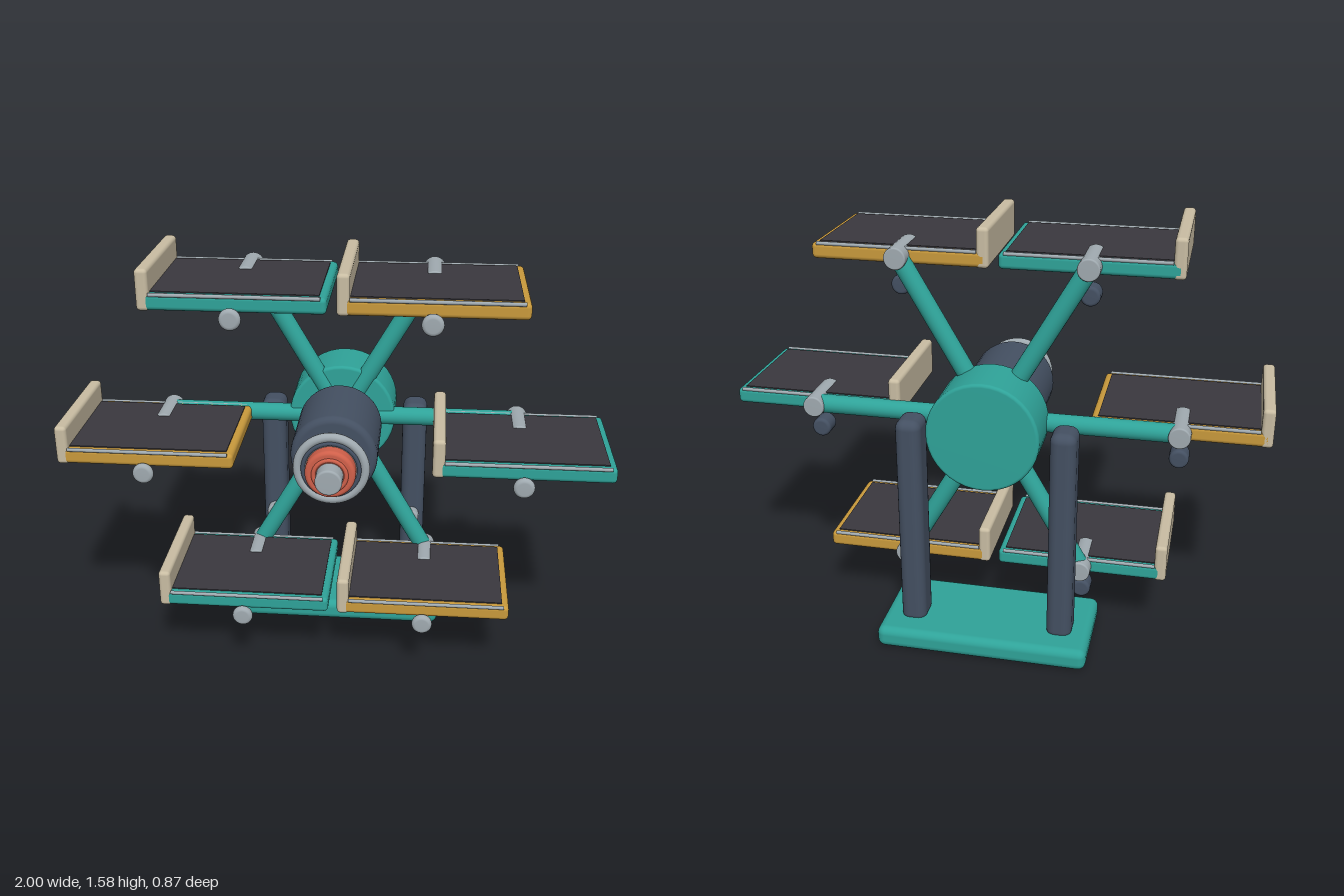
import * as THREE from 'three';
import { RoundedBoxGeometry } from 'three/addons/geometries/RoundedBoxGeometry.js';

const material = (name, color) => {
  const m = new THREE.MeshStandardMaterial({ color });
  m.name = name;
  return m;
};

export function createModel() {
  const teal = material('teal', 0x2fa399);
  const ochre = material('ochre', 0xc99a3c);
  const cream = material('cream', 0xc9bda3);
  const slate = material('slate', 0x445062);
  const charcoal = material('charcoal', 0x3a383e);
  const silver = material('silver', 0xa0aab0);
  const coral = material('coral', 0xd0604a);

  const model = new THREE.Group();
  model.name = 'rotaryShelfWheel';

  const add = (parent, name, geometry, mat, x = 0, y = 0, z = 0) => {
    const mesh = new THREE.Mesh(geometry, mat);
    mesh.name = name;
    mesh.position.set(x, y, z);
    parent.add(mesh);
    return mesh;
  };
  // Rounded box given by its extents
  const box = (parent, name, mat, [x0, x1], [y0, y1], [z0, z1], r) =>
    add(parent, name, new RoundedBoxGeometry(x1 - x0, y1 - y0, z1 - z0, 3, r), mat,
      (x0 + x1) / 2, (y0 + y1) / 2, (z0 + z1) / 2);
  // Cylinder along z with rounded rims
  const drum = (parent, name, mat, r, z0, z1, bevel, x = 0, y = 0) => {
    const pts = [new THREE.Vector2(0, z0)];
    for (let i = 0; i <= 4; i++) {
      const a = (i / 4) * Math.PI / 2;
      pts.push(new THREE.Vector2(r - bevel + bevel * Math.sin(a), z0 + bevel - bevel * Math.cos(a)));
    }
    for (let i = 0; i <= 4; i++) {
      const a = (i / 4) * Math.PI / 2;
      pts.push(new THREE.Vector2(r - bevel + bevel * Math.cos(a), z1 - bevel + bevel * Math.sin(a)));
    }
    pts.push(new THREE.Vector2(0, z1));
    return add(parent, name, new THREE.LatheGeometry(pts, 40).rotateX(Math.PI / 2), mat, x, y);
  };
  const ring = (parent, name, mat, R, tube, z) =>
    add(parent, name, new THREE.TorusGeometry(R, tube, 12, 48), mat, 0, 0, z);

  // Stand: base slab, two posts and their bolts
  box(model, 'base', teal, [-0.4, 0.4], [0, 0.085], [-0.435, -0.04], 0.03);
  for (const s of [-1, 1]) {
    const x = s * 0.282;
    box(model, 'post', slate, [x - 0.048, x + 0.048], [0.06, 0.905], [-0.338, -0.21], 0.035);
    drum(model, 'postBolt', silver, 0.028, -0.215, -0.168, 0.008, x, 0.43);
  }

  // Wheel hub and axle assembly
  const wheel = new THREE.Group();
  wheel.name = 'wheel';
  wheel.position.y = 0.88;
  model.add(wheel);
  drum(wheel, 'hub', teal, 0.205, -0.362, -0.148, 0.012);
  drum(wheel, 'motorDrum', slate, 0.158, -0.093, 0.237, 0.025);
  drum(wheel, 'axle', silver, 0.048, -0.16, 0.437, 0.008);
  for (const z of [-0.12, 0.318]) {
    drum(wheel, 'bearing', silver, 0.125, z - 0.014, z + 0.01, 0.004);
    ring(wheel, 'bearingRim', silver, 0.12, 0.017, z);
  }
  ring(wheel, 'bearingGroove', slate, 0.1, 0.008, 0.327);
  drum(wheel, 'axleCap', coral, 0.09, 0.3, 0.375, 0.014);
  ring(wheel, 'axleCollar', coral, 0.058, 0.008, 0.374);

  // Six arms, each carrying a level tray
  const reach = 0.677;
  for (let i = 0; i < 6; i++) {
    const a = i * Math.PI / 3;
    const arm = add(wheel, 'arm', new THREE.CylinderGeometry(0.035, 0.035, reach, 24), teal,
      Math.cos(a) * reach / 2, Math.sin(a) * reach / 2, -0.17);
    arm.rotation.z = a - Math.PI / 2;

    const tray = new THREE.Group();
    tray.name = 'tray';
    tray.position.set(Math.cos(a) * reach, Math.sin(a) * reach, 0);
    wheel.add(tray);
    box(tray, 'trayDeck', i % 2 ? ochre : teal, [-0.318, 0.322], [-0.03, 0.028], [-0.165, 0.302], 0.016);
    add(tray, 'trayMat', new THREE.BoxGeometry(0.575, 0.008, 0.415), charcoal, 0.009, 0.028, 0.068);
    box(tray, 'trayEndPanel', cream, [-0.322, -0.277], [-0.032, 0.113], [-0.165, 0.303], 0.014);
    for (const z of [-0.159, 0.3])
      add(tray, 'trayRail', new THREE.CylinderGeometry(0.007, 0.007, 0.58, 10).rotateZ(Math.PI / 2),
        silver, 0.012, 0.026, z);
    drum(tray, 'pivotPin', silver, 0.04, -0.217, -0.015, 0.006);
    drum(tray, 'frontStud', silver, 0.038, 0.307, 0.338, 0.014, 0, -0.045);
    drum(tray, 'counterweight', slate, 0.036, -0.152, -0.075, 0.012, 0, -0.112);
  }
  return model;
}
